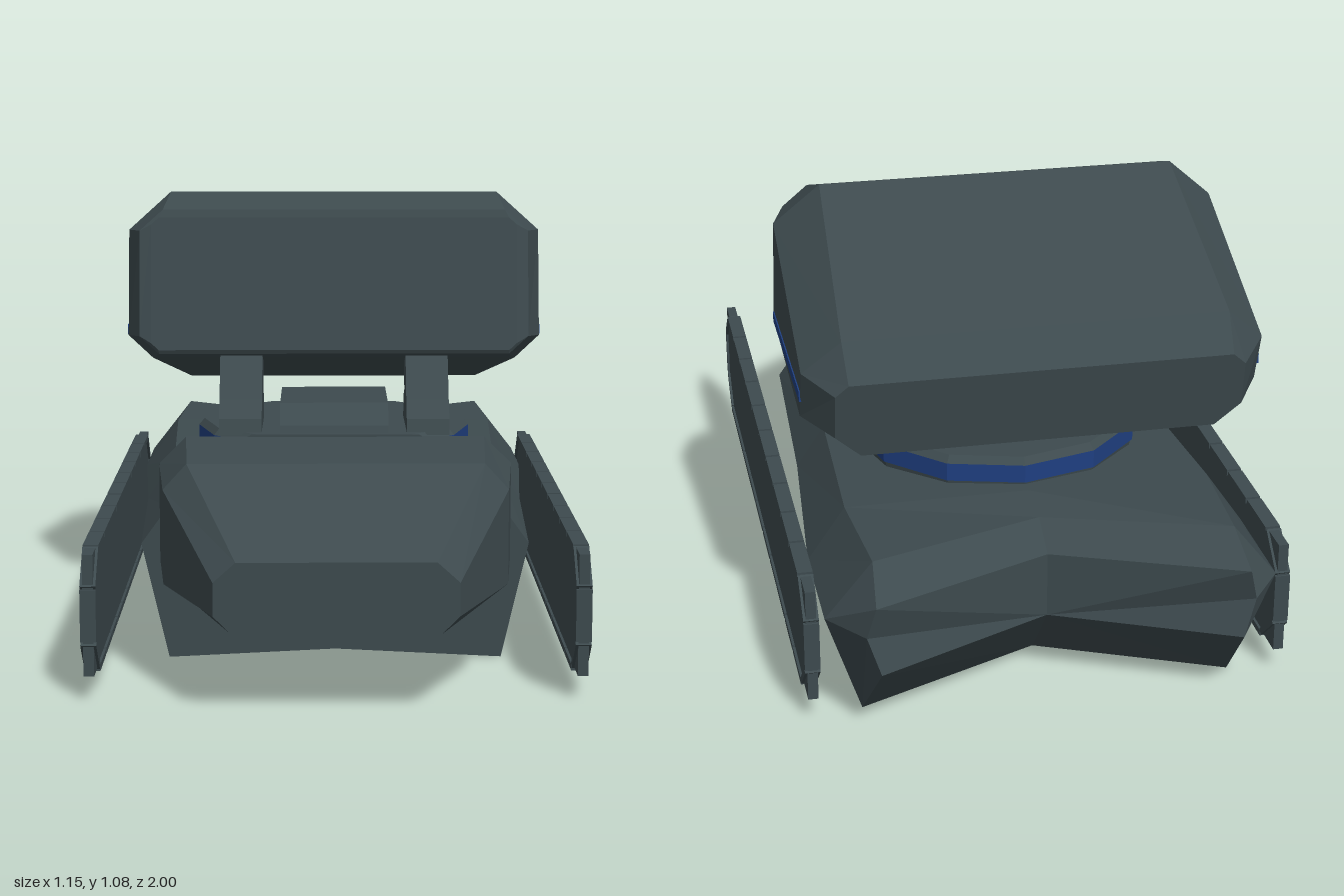
import * as THREE from 'three';

const paint = new THREE.MeshStandardMaterial({ color: 0x3d4a4e });
paint.name = 'slatePaint';
const blue = new THREE.MeshStandardMaterial({ color: 0x1f3f80 });
blue.name = 'blueTrim';

function addMesh(parent, name, geometry, material = paint) {
  const flat = geometry.index ? geometry.toNonIndexed() : geometry;
  flat.computeVertexNormals();
  const mesh = new THREE.Mesh(flat, material);
  mesh.name = name;
  parent.add(mesh);
  return mesh;
}

// Half outline [x, y, z] from bottom to top on the left side, completed by mirroring
function mirrorSection(half) {
  const other = half.filter(p => p[0] !== 0).reverse().map(([x, y, z]) => [-x, y, z]);
  return [...half, ...other];
}

// Faceted skin over sections listed from front to back, with closed ends
function loft(halves) {
  const s = halves.map(mirrorSection);
  const n = s[0].length, last = s.length - 1, pos = [];
  const tri = (a, b, c) => pos.push(...a, ...b, ...c);
  for (let i = 0; i < last; i++) {
    for (let j = 0; j < n; j++) {
      const k = (j + 1) % n;
      tri(s[i][j], s[i + 1][j], s[i + 1][k]);
      tri(s[i][j], s[i + 1][k], s[i][k]);
    }
  }
  for (let j = 1; j < n - 1; j++) {
    tri(s[0][0], s[0][j], s[0][j + 1]);
    tri(s[last][0], s[last][j + 1], s[last][j]);
  }
  const g = new THREE.BufferGeometry();
  g.setAttribute('position', new THREE.Float32BufferAttribute(pos, 3));
  return g;
}

function box(parent, name, size, at, material) {
  const m = addMesh(parent, name, new THREE.BoxGeometry(...size), material);
  m.position.set(...at);
  return m;
}

// Side profile in [z, y], extruded across x and centred on the given x
function sideProfile(points, width, x) {
  const shape = new THREE.Shape(points.map(([z, y]) => new THREE.Vector2(-z, y)));
  const g = new THREE.ExtrudeGeometry(shape, { depth: width, bevelEnabled: false });
  return g.translate(0, 0, -width / 2).rotateY(Math.PI / 2).translate(x, 0, 0);
}

function buildHull(parent) {
  const hull = (z, top, xt, w, wb) =>
    [[0, 0.03, z], [wb, 0.01, z], [w, 0.29, z], [xt, top, z], [0, top, z]];
  addMesh(parent, 'hull', loft([
    hull(0.47, 0.38, 0.40, 0.465, 0.40),
    hull(-0.1, 0.395, 0.42, 0.49, 0.43),
    hull(-0.6, 0.42, 0.44, 0.53, 0.45),
    // forked tail
    [[0, 0.03, -0.66], [0.44, 0.01, -0.82], [0.53, 0.29, -0.88], [0.42, 0.43, -0.89], [0, 0.41, -0.72]],
    [[0, 0.2, -0.81], [0.42, 0.2, -1], [0.45, 0.29, -0.985], [0.43, 0.37, -1], [0, 0.36, -0.81]],
  ]));
}

function buildCab(parent) {
  const cab = (z, top, xt, w, yHigh, yLow, xb) =>
    [[xb, 0.2, z], [w, yLow, z], [w, yHigh, z], [xt, top, z]];
  addMesh(parent, 'cab', loft([
    cab(1, 0.36, 0.22, 0.27, 0.315, 0.24, 0.23),
    cab(0.73, 0.53, 0.34, 0.395, 0.47, 0.25, 0.32),
    cab(0.47, 0.55, 0.355, 0.42, 0.485, 0.25, 0.33),
  ]));
  // wedge behind the cab
  const wedge = (z, top, w) => [[w, 0.36, z], [w, top - 0.03, z], [w * 0.8, top, z]];
  addMesh(parent, 'cabRearWedge', loft([
    wedge(0.475, 0.555, 0.25), wedge(0.43, 0.545, 0.15), wedge(0.415, 0.49, 0.12), wedge(0.36, 0.41, 0.02),
  ]));
}

function buildTrack(parent, side) {
  const track = new THREE.Group();
  track.name = side > 0 ? 'leftTrack' : 'rightTrack';
  parent.add(track);
  const x = side * 0.557;
  box(track, 'trackPlate', [0.024, 0.28, 1.70], [x, 0.205, 0]);
  // edge pads, top and bottom
  for (const y of [0.0625, 0.3425]) {
    for (let i = 0; i < 10; i++) {
      box(track, 'trackPad', [0.036, 0.015, 0.145], [x, y, (i - 4.5) * 0.154]);
    }
  }
  // slanted pads near the four corners and an upright pad at each end
  for (const end of [-1, 1]) {
    for (const up of [-1, 1]) {
      const pad = box(track, 'cornerPad', [0.036, 0.015, 0.11], [x, 0.205 + up * 0.1, end * 0.808]);
      pad.rotation.x = end * up * 0.75;
    }
    box(track, 'endPad', [0.036, 0.12, 0.013], [x, 0.205, end * 0.848]);
  }
}

function buildTurret(parent) {
  // twelve-sided ring with a blue band
  const ring = (name, r1, r0, y0, y1, material) => {
    const m = addMesh(parent, name, new THREE.CylinderGeometry(r1, r0, y1 - y0, 12), material);
    m.position.set(0, (y0 + y1) / 2, -0.21);
  };
  ring('ringBase', 0.355, 0.345, 0.37, 0.425);
  ring('ringBand', 0.36, 0.36, 0.425, 0.47, blue);
  ring('ringCap', 0.345, 0.36, 0.47, 0.487);

  addMesh(parent, 'mountBlock', sideProfile(
    [[0.04, 0.48], [0.03, 0.505], [-0.03, 0.555], [-0.32, 0.555], [-0.335, 0.48]], 0.28, 0));
  for (const side of [-1, 1]) {
    addMesh(parent, 'supportArm', sideProfile(
      [[0.03, 0.48], [0.02, 0.52], [-0.02, 0.565], [-0.10, 0.69], [-0.22, 0.68], [-0.17, 0.57], [-0.22, 0.55], [-0.25, 0.48]],
      0.11, side * 0.242));
  }
}

function buildPod(parent) {
  // tilted octagonal sections: top and bottom as [z, y]
  const section = ([zt, yt], [zb, yb], w, ct, cb) => {
    const p = (x, y) => [x, y, zb + (zt - zb) * (y - yb) / (yt - yb)];
    return [p(w - ct, yb).map((v, i) => (i ? v : w - cb)), p(w, yb + cb * 0.9), p(w, yt - ct * 0.9), p(w - ct, yt)];
  };
  addMesh(parent, 'launcherPod', loft([
    section([-0.108, 1.03], [-0.05, 0.69], 0.475, 0.02, 0.02),
    section([-0.115, 1.05], [-0.055, 0.68], 0.505, 0.06, 0.05),
    section([-0.23, 1.09], [-0.13, 0.66], 0.54, 0.11, 0.065),
    section([-0.69, 0.88], [-0.58, 0.55], 0.54, 0.09, 0.14),
    section([-0.755, 0.80], [-0.72, 0.61], 0.475, 0.03, 0.06),
  ]));
  for (const side of [-1, 1]) {
    box(parent, 'podStripe', [0.006, 0.025, 0.48], [side * 0.54, 0.732, -0.4], blue);
  }
}

export function createModel() {
  const model = new THREE.Group();
  model.name = 'launcherVehicle';
  buildHull(model);
  buildCab(model);
  buildTrack(model, 1);
  buildTrack(model, -1);
  const turret = new THREE.Group();
  turret.name = 'turret';
  model.add(turret);
  buildTurret(turret);
  buildPod(turret);
  return model;
}
